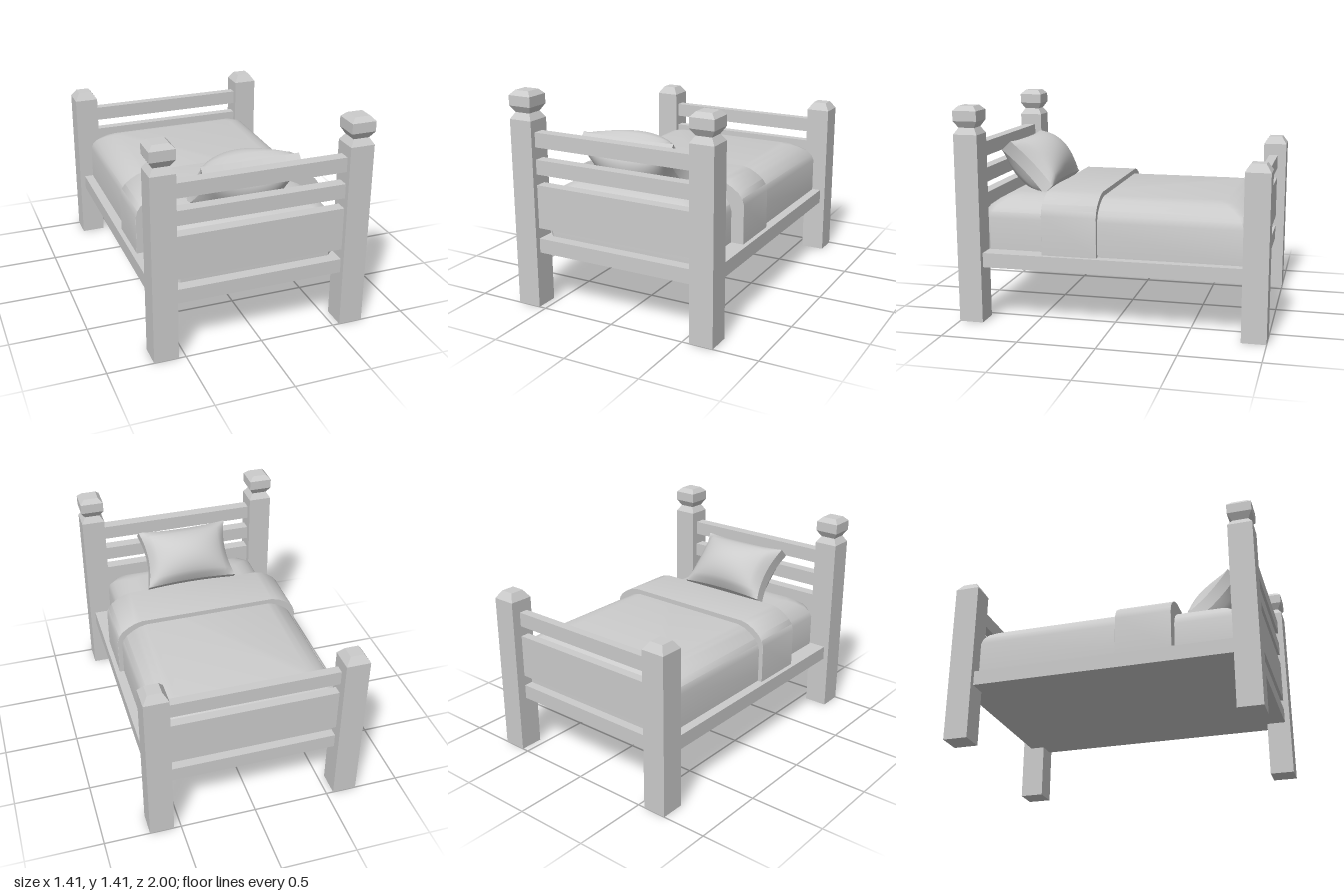
import * as THREE from 'three';
import { toCreasedNormals } from 'three/addons/utils/BufferGeometryUtils.js';

const material = new THREE.MeshStandardMaterial({ color: 0xcccccc });
const softMaterial = new THREE.MeshStandardMaterial({ color: 0xcccccc, side: THREE.DoubleSide });

// Box given by its extents, symmetric in x
function slab(name, halfX, y0, y1, z0, z1) {
  const mesh = new THREE.Mesh(new THREE.BoxGeometry(halfX * 2, y1 - y0, z1 - z0), material);
  mesh.name = name;
  mesh.position.set(0, (y0 + y1) / 2, (z0 + z1) / 2);
  return mesh;
}

// Square post turned from a [halfWidth, y] profile
function post(name, profile, x, z) {
  const points = profile.map(([h, y]) => new THREE.Vector2(h * Math.SQRT2, y));
  const geometry = new THREE.LatheGeometry(points, 4, Math.PI / 4).toNonIndexed();
  geometry.computeVertexNormals();
  const mesh = new THREE.Mesh(geometry, material);
  mesh.name = name;
  mesh.position.set(x, 0, z);
  return mesh;
}

// Bedding with a rounded top: stacked eight-sided rings, each end rounded or square
function bedding(name, halfX, z0, z1, top, roundFoot, roundHead) {
  const rings = [[0, 0.46], [0, top - 0.14], [0.012, top - 0.1], [0.035, top - 0.068],
    [0.08, top - 0.035], [0.125, top - 0.012], [0.175, top]];
  const positions = [], index = [];
  for (const [inset, y] of rings) {
    const x = halfX - inset;
    const f = z0 + (roundFoot ? inset : 0), h = z1 - (roundHead ? inset : 0);
    const cf = roundFoot ? 0.045 : 0.001, ch = roundHead ? 0.06 : 0.001;
    for (const [px, pz] of [[x - ch, h], [x, h - ch], [x, f + cf], [x - cf, f],
      [cf - x, f], [-x, f + cf], [-x, h - ch], [ch - x, h]]) positions.push(px, y, pz);
  }
  for (let r = 0; r < rings.length - 1; r++) {
    for (let i = 0; i < 8; i++) {
      const a = r * 8 + i, b = r * 8 + (i + 1) % 8;
      index.push(a, b, a + 8, b, b + 8, a + 8);
    }
  }
  const last = (rings.length - 1) * 8;
  for (let i = 1; i < 7; i++) index.push(last, last + i, last + i + 1);
  const geometry = new THREE.BufferGeometry();
  geometry.setAttribute('position', new THREE.Float32BufferAttribute(positions, 3));
  geometry.setIndex(index);
  const mesh = new THREE.Mesh(toCreasedNormals(geometry, 0.7), softMaterial);
  mesh.name = name;
  return mesh;
}

// Plump cushion with pinched sides and a flat band around its edge
function pillow() {
  const geometry = new THREE.BoxGeometry(2, 2, 2, 20, 16, 1);
  const p = geometry.attributes.position;
  for (let i = 0; i < p.count; i++) {
    const u = p.getX(i), v = p.getY(i);
    const dome = Math.pow((1 - u * u) * (1 - v * v), 0.6);
    p.setXYZ(i,
      u * (0.32 - 0.035 * (1 - v * v)),
      v * (0.205 - 0.015 * (1 - u * u)),
      Math.sign(p.getZ(i)) * (0.042 + 0.142 * dome));
  }
  geometry.computeVertexNormals();
  const mesh = new THREE.Mesh(geometry, material);
  mesh.name = 'pillow';
  mesh.position.set(0, 0.968, 0.65);
  mesh.rotation.x = Math.PI * 0.25;
  return mesh;
}

export function createModel() {
  const bed = new THREE.Group();
  bed.name = 'bed';

  // Four corner posts, the head pair taller with a necked finial
  const w = 0.079;
  const headProfile = [[0, 0], [w, 0], [w, 1.23], [0.052, 1.272], [w, 1.315], [w, 1.38], [0.05, 1.41], [0, 1.41]];
  const footProfile = [[0, 0], [w, 0], [w, 1.06], [0.045, 1.11], [0, 1.11]];
  for (const side of [1, -1]) {
    const label = side > 0 ? 'Left' : 'Right';
    bed.add(post('headPost' + label, headProfile, side * 0.626, 0.921));
    bed.add(post('footPost' + label, footProfile, side * 0.626, -0.921));
  }

  // Platform
  bed.add(slab('platform', 0.67, 0.365, 0.46, -0.94, 0.965));

  // Head and foot boards
  bed.add(slab('headPanel', 0.56, 0.53, 0.815, 0.89, 0.965));
  bed.add(slab('headRailLower', 0.56, 0.885, 0.98, 0.89, 0.965));
  bed.add(slab('headRailUpper', 0.56, 1.06, 1.155, 0.89, 0.965));
  bed.add(slab('footPanel', 0.56, 0.53, 0.815, -0.94, -0.88));
  bed.add(slab('footRail', 0.56, 0.885, 0.98, -0.94, -0.88));

  // Bedding
  bed.add(bedding('mattress', 0.555, -0.84, 0.89, 0.81, true, true));
  bed.add(bedding('blanket', 0.61, -0.88, 0.44, 0.825, true, false));
  bed.add(bedding('blanketFold', 0.64, 0.09, 0.452, 0.857, false, false));
  bed.add(pillow());

  return bed;
}
